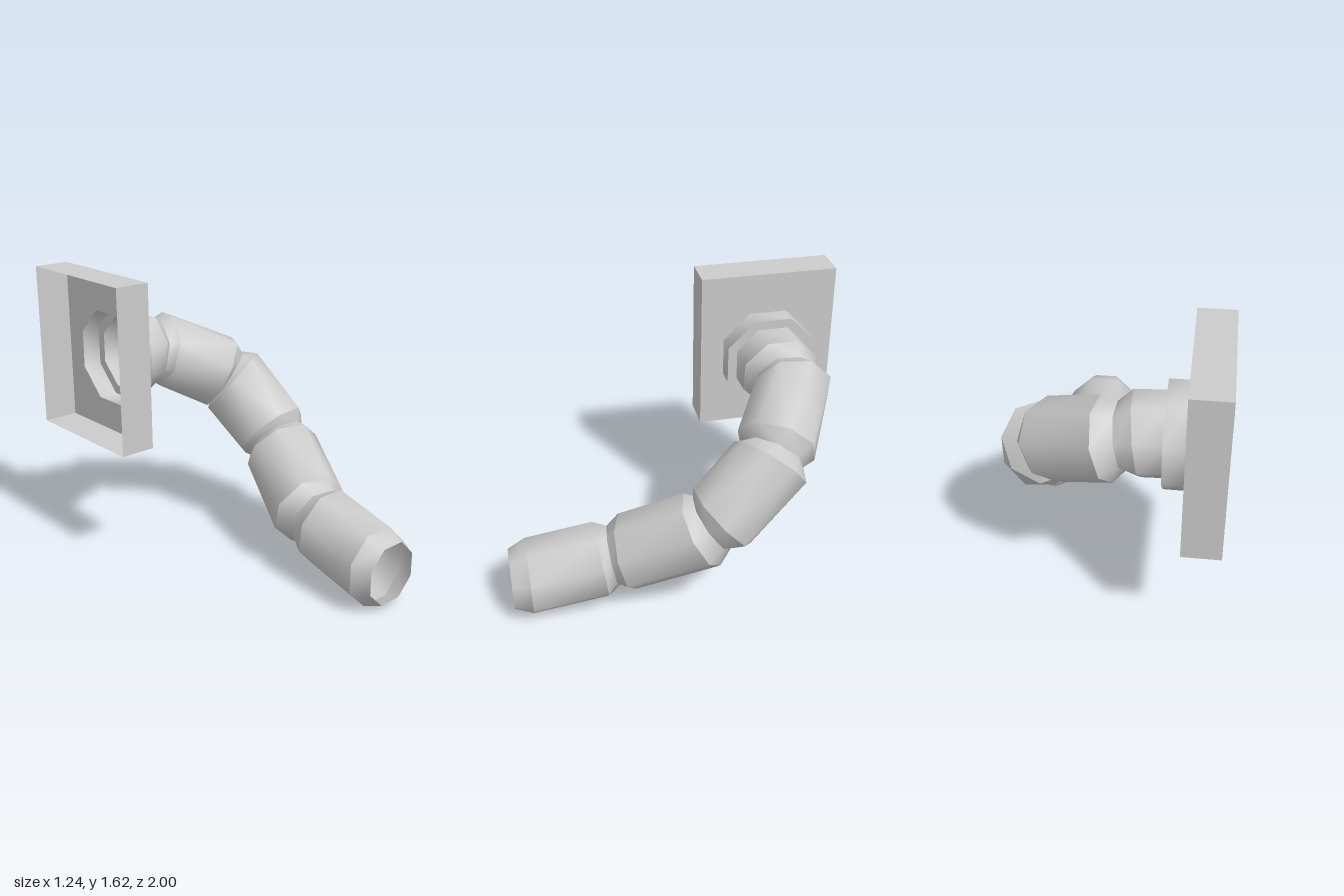
import * as THREE from 'three';
import { mergeGeometries } from 'three/addons/utils/BufferGeometryUtils.js';

const SIDES = 8;
const CIRCUM = 1 / Math.cos(Math.PI / SIDES); // flat-to-centre distance -> corner radius
const BODY = 0.205, NECK = 0.162, FLANGE = 0.257;

const material = new THREE.MeshStandardMaterial({ color: 0xcccccc, side: THREE.DoubleSide });

// One octagonal cross-section: centre, axis direction, flat-to-centre radius
function ring(centre, axis, radius) {
  return { c: new THREE.Vector3(...centre), n: new THREE.Vector3(...axis).normalize(), r: radius };
}

// Octagon corners with a flat side kept facing upwards
function corners({ c, n, r }) {
  const up = new THREE.Vector3(0, 1, 0).addScaledVector(n, -n.y).normalize();
  const side = new THREE.Vector3().crossVectors(up, n);
  return Array.from({ length: SIDES }, (_, i) => {
    const a = ((i + 0.5) / SIDES) * Math.PI * 2;
    return c.clone()
      .addScaledVector(side, Math.cos(a) * r * CIRCUM)
      .addScaledVector(up, Math.sin(a) * r * CIRCUM);
  });
}

// Smooth band between two rings; bands do not share normals, so ring edges stay sharp
function band(a, b) {
  const geometry = new THREE.BufferGeometry().setFromPoints([...corners(a), ...corners(b)]);
  const index = [];
  for (let i = 0; i < SIDES; i++) {
    const j = (i + 1) % SIDES;
    index.push(i, j, SIDES + i, j, SIDES + j, SIDES + i);
  }
  geometry.setIndex(index);
  geometry.computeVertexNormals();
  return geometry;
}

function tube(name, rings) {
  const bands = rings.slice(1).map((r, i) => band(rings[i], r));
  const mesh = new THREE.Mesh(mergeGeometries(bands), material);
  mesh.name = name;
  return mesh;
}

// Narrow ring halfway between two body ends
function neckBetween(a, b) {
  const c = a.c.clone().lerp(b.c, 0.5);
  const n = a.n.clone().add(b.n);
  return ring(c.toArray(), n.toArray(), NECK);
}

// Wall box, open at the back, with an octagonal hole in its front plate
function wallBox() {
  const group = new THREE.Group();
  group.name = 'wallBox';
  const w = 0.78, h = 0.92, d = 0.2;
  const shape = new THREE.Shape([[-1, -1], [1, -1], [1, 1], [-1, 1]]
    .map(([x, y]) => new THREE.Vector2(x * w / 2, y * h / 2)));
  const hole = Array.from({ length: SIDES }, (_, i) => {
    const a = -((i + 0.5) / SIDES) * Math.PI * 2;
    return new THREE.Vector2(Math.cos(a) * FLANGE * CIRCUM, Math.sin(a) * FLANGE * CIRCUM - 0.03);
  });
  shape.holes.push(new THREE.Path(hole));
  const plate = new THREE.Mesh(new THREE.ShapeGeometry(shape), material);
  plate.name = 'frontPlate';
  group.add(plate);

  for (const s of [-1, 1]) {
    const sideWall = new THREE.Mesh(new THREE.PlaneGeometry(d, h), material);
    sideWall.name = 'sideWall';
    sideWall.rotation.y = s * Math.PI / 2;
    sideWall.position.set(s * w / 2, 0, -d / 2);
    const edgeWall = new THREE.Mesh(new THREE.PlaneGeometry(w, d), material);
    edgeWall.name = s > 0 ? 'topWall' : 'bottomWall';
    edgeWall.rotation.x = -s * Math.PI / 2;
    edgeWall.position.set(0, s * h / 2, -d / 2);
    group.add(sideWall, edgeWall);
  }
  group.rotation.y = Math.PI / 2;
  group.position.set(-0.42, 1.17, -0.61);
  return group;
}

export function createModel() {
  const model = new THREE.Group();
  model.add(wallBox());

  // Stepped flange on the plate
  const X = [1, 0, 0];
  model.add(tube('flange', [
    ring([-0.42, 1.14, -0.61], X, FLANGE),
    ring([-0.31, 1.14, -0.61], X, FLANGE),
    ring([-0.31, 1.14, -0.61], X, BODY),
  ]));

  // Start and end ring of each pipe section, from the flange to the open mouth
  const sections = [
    [ring([-0.31, 1.14, -0.61], X, BODY), ring([-0.17, 1.138, -0.615], [0.4, -0.05, -0.01], BODY)],
    [ring([-0.025, 1.115, -0.645], [0.39, -0.11, 0.07], BODY), ring([0.28, 0.955, -0.47], [0.32, -0.19, 0.19], BODY)],
    [ring([0.34, 0.895, -0.42], [0.19, -0.28, 0.27], BODY), ring([0.41, 0.63, -0.145], [0.03, -0.26, 0.295], BODY)],
    [ring([0.395, 0.545, -0.04], [-0.085, -0.2, 0.33], BODY), ring([0.238, 0.335, 0.35], [-0.12, -0.12, 0.41], BODY)],
    [ring([0.218, 0.29, 0.5], [0.01, -0.05, 0.42], BODY), ring([0.185, 0.213, 0.9], [0, -0.01, 1], BODY)],
  ];
  const mouth = ring([0.187, 0.21, 1], [0, 0, 1], 0.162);

  // Each section tapers into the necks it shares with its neighbours
  sections.forEach(([start, end], i) => {
    const rings = [start, end];
    if (i > 0) rings.unshift(neckBetween(sections[i - 1][1], start));
    rings.push(i < sections.length - 1 ? neckBetween(end, sections[i + 1][0]) : mouth);
    model.add(tube(`pipeSection${i + 1}`, rings));
  });
  return model;
}
